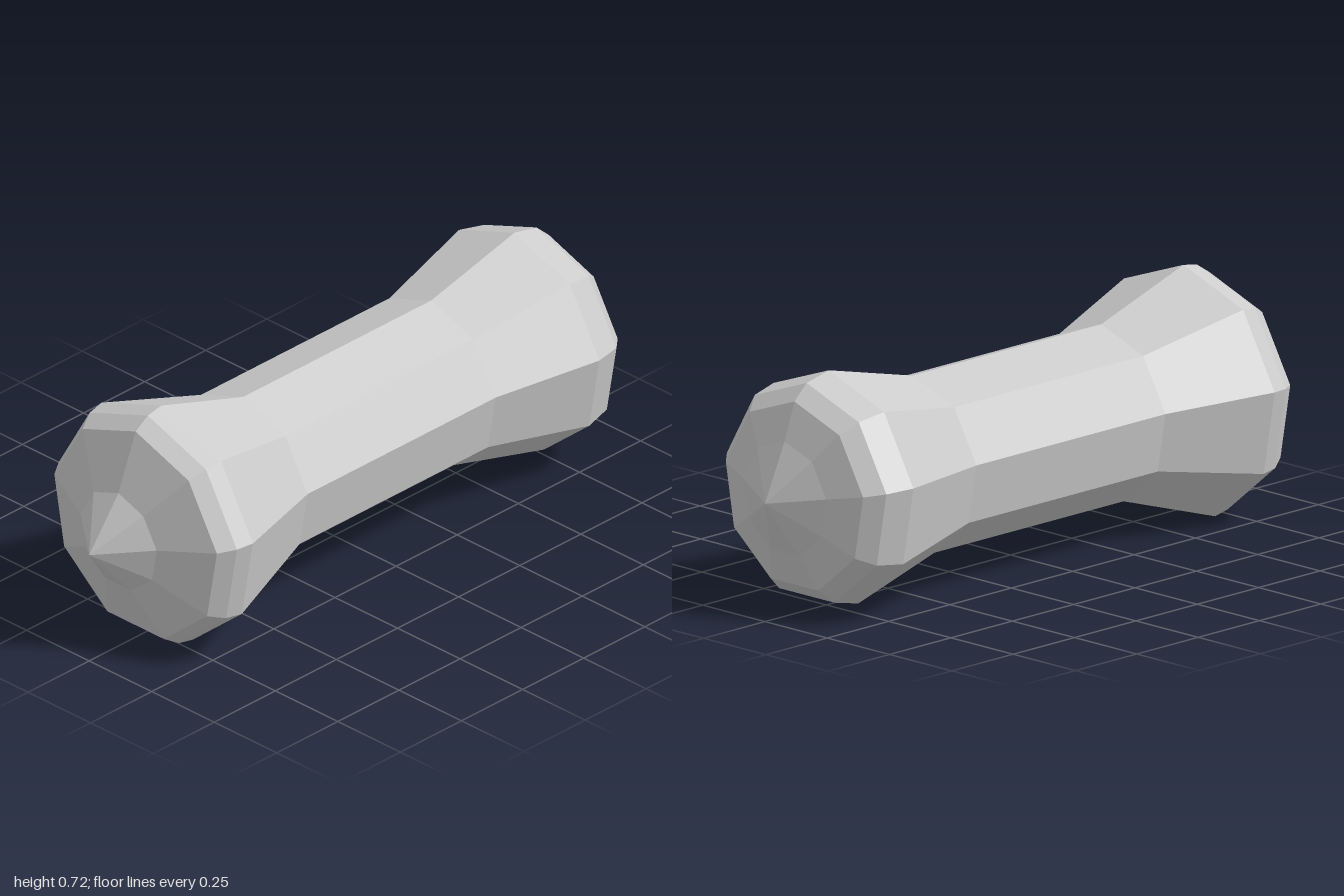
import * as THREE from 'three';

const SIDES = 9;
const AXIS_HEIGHT = 0.35;

// Profiles as [radius, z], running from back to front
const backKnob = [[0, -1], [0.17, -0.92], [0.28, -0.88], [0.325, -0.83], [0.345, -0.74], [0.262, -0.4]];
const grip = [[0.262, -0.4], [0.262, 0.37]];
const frontKnob = [[0.262, 0.37], [0.372, 0.705], [0.362, 0.76], [0.33, 0.81], [0.155, 0.88], [0, 1]];

export function createModel() {
  const group = new THREE.Group();
  const material = new THREE.MeshStandardMaterial({ color: 0xcccccc, flatShading: true });

  // Nine-sided turned part lying along z, with one corner pointing straight up
  const addTurned = (name, profile) => {
    const points = profile.map(([r, z]) => new THREE.Vector2(r, z));
    const geometry = new THREE.LatheGeometry(points, SIDES, Math.PI);
    geometry.rotateX(Math.PI / 2);
    const mesh = new THREE.Mesh(geometry, material);
    mesh.name = name;
    mesh.position.y = AXIS_HEIGHT;
    group.add(mesh);
  };

  addTurned('backKnob', backKnob);
  addTurned('grip', grip);
  addTurned('frontKnob', frontKnob);
  return group;
}
